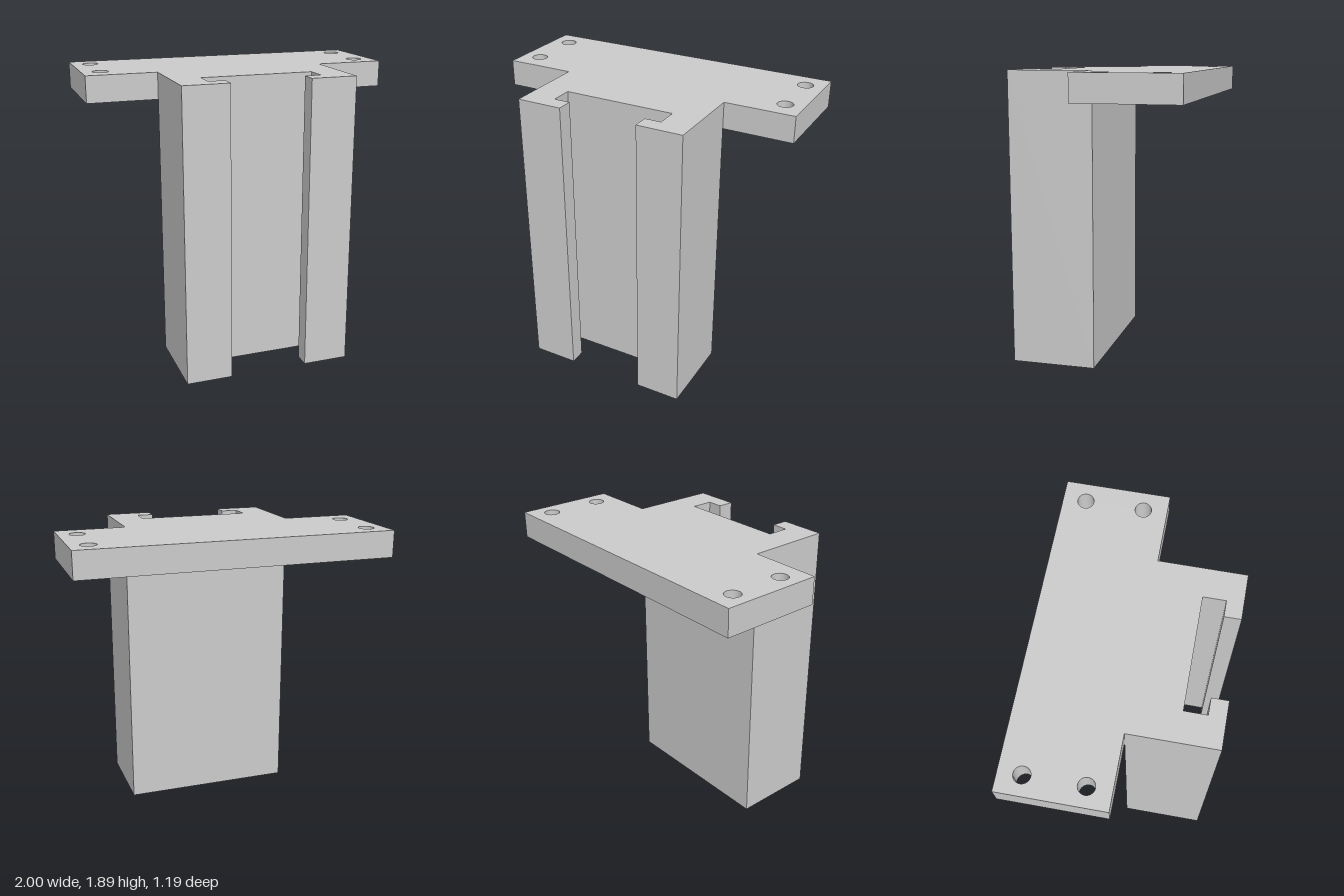
import * as THREE from 'three';
import { toCreasedNormals } from 'three/addons/utils/BufferGeometryUtils.js';

const TOP = 1.89, PLATE_BOTTOM = 1.72;
const BACK = -0.595, JOINT = 0.05, FRONT = 0.595;

const material = new THREE.MeshStandardMaterial({ color: 0xcccccc });

// Extrudes a plan outline of [x, z] points upward from y0 to y1.
function prism(name, outline, y0, y1, holes = []) {
  const shape = new THREE.Shape(outline.map(([x, z]) => new THREE.Vector2(x, -z)));
  for (const [x, z, r] of holes) {
    shape.holes.push(new THREE.Path().absarc(x, -z, r, 0, Math.PI * 2, true));
  }
  const geometry = new THREE.ExtrudeGeometry(shape, {
    depth: y1 - y0, bevelEnabled: false, curveSegments: 32,
  });
  geometry.rotateX(-Math.PI / 2);
  geometry.translate(0, y0, 0);
  const mesh = new THREE.Mesh(toCreasedNormals(geometry, Math.PI / 6), material);
  mesh.name = name;
  return mesh;
}

export function createModel() {
  const group = new THREE.Group();
  group.name = 'slottedBracket';

  // Upright body with a T-shaped slot open at the front, top and bottom
  const half = [[0.255, 0.35], [0.255, 0.35]];
  half.length = 0;
  half.push([0.36, 0.35], [0.36, 0.49], [0.255, 0.49], [0.255, FRONT], [0.55, FRONT], [0.55, JOINT]);
  const mirrored = half.map(([x, z]) => [-x, z]).reverse();
  group.add(prism('slottedBody', [...half, ...mirrored], 0, TOP));

  // Mounting plate behind the body, with a screw hole near each corner
  const holes = [];
  for (const x of [-0.88, 0.88]) {
    for (const z of [-0.455, -0.097]) holes.push([x, z, 0.05]);
  }
  const plate = [[-1, JOINT], [1, JOINT], [1, BACK], [-1, BACK]];
  group.add(prism('mountingPlate', plate, PLATE_BOTTOM, TOP, holes));

  return group;
}
